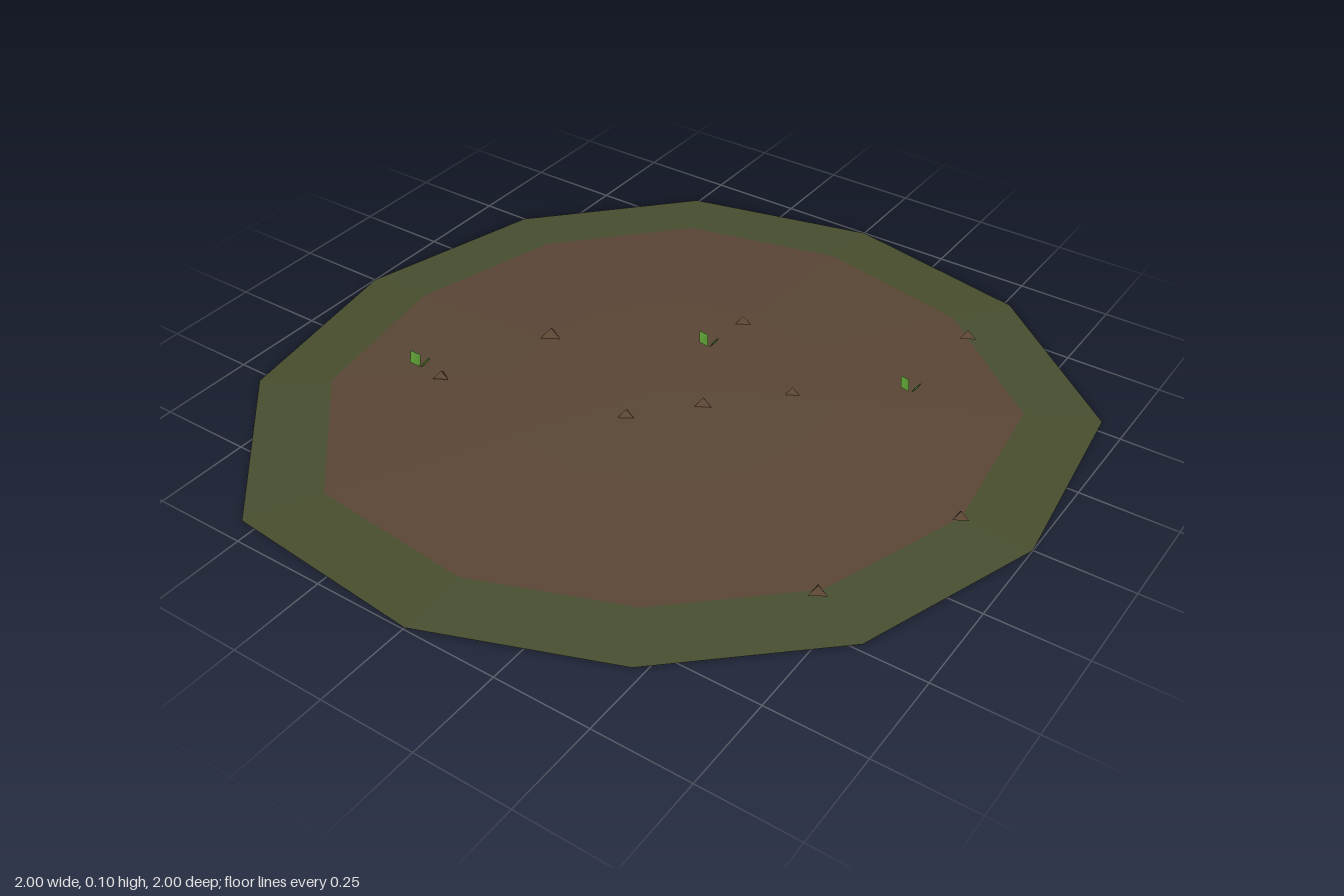
import * as THREE from 'three';

const flat = (name, color, side = THREE.FrontSide) =>
  new THREE.MeshStandardMaterial({ name, color, side, flatShading: true });

// Rim radius at every 30 degrees, counter-clockwise from +x
const RIM = [1, 1.08, 1.03, 1, 1.017, 1, 1, 1.055, 1.09, 0.995, 0.94, 0.96];

// Surface through concentric rings, each [scale, height], from the inside out
function moundGeometry(rings) {
  const n = RIM.length, pos = [], index = [];
  for (const [s, y] of rings) {
    RIM.forEach((r, k) => {
      const a = (k / n) * Math.PI * 2;
      pos.push(Math.cos(a) * r * s, y, -Math.sin(a) * r * s);
    });
  }
  for (let i = 0; i < rings.length - 1; i++) {
    for (let k = 0; k < n; k++) {
      const a = i * n + k, b = i * n + ((k + 1) % n);
      if (rings[i][0] > 0) index.push(a, b + n, b);
      index.push(a, a + n, b + n);
    }
  }
  const g = new THREE.BufferGeometry();
  g.setAttribute('position', new THREE.Float32BufferAttribute(pos, 3));
  g.setIndex(index);
  g.computeVertexNormals();
  return g;
}

export function createModel() {
  const model = new THREE.Group();
  model.name = 'soilPatch';
  const soil = flat('soil brown', 0x5a4636, THREE.DoubleSide);
  const grass = flat('grass green', 0x484e2f, THREE.DoubleSide);
  const clodMat = flat('clod brown', 0x5c4535);
  const leafMat = flat('leaf green', 0x55902f);

  const add = (parent, name, geometry, material) => {
    const mesh = new THREE.Mesh(geometry, material);
    mesh.name = name;
    parent.add(mesh);
    return mesh;
  };

  // Low domed soil with a grassy border
  add(model, 'soilMound', moundGeometry([[0, 0.045], [0.4, 0.037], [0.82, 0.012]]), soil);
  add(model, 'grassBorder', moundGeometry([[0.82, 0.012], [1, 0]]), grass);

  // Small three-sided clods: x, z, base height, size
  const clodGeometry = new THREE.ConeGeometry(0.025, 0.02, 3);
  clodGeometry.translate(0, 0.01, 0);
  clodGeometry.rotateY(Math.PI / 2);
  const clods = [
    [0.51, -0.64, 0.036, 1], [0.83, 0.03, 0.037, 0.9], [0.69, 0.43, 0.037, 1],
    [-0.01, -0.36, 0.037, 1], [0.265, -0.16, 0.036, 1], [-0.39, -0.02, 0.037, 1.2],
    [0.11, 0.01, 0.038, 1.2], [-0.02, 0.155, 0.038, 1.1], [-0.51, 0.28, 0.032, 0.9],
  ];
  for (const [x, z, y, s] of clods) {
    const clod = add(model, 'clod', clodGeometry, clodMat);
    clod.position.set(x, y, z);
    clod.scale.setScalar(s);
  }

  // Sprouts: two diamond leaves spread in a V
  const leafGeometry = new THREE.OctahedronGeometry(1);
  leafGeometry.scale(0.003, 0.024, 0.02);
  for (const [x, z] of [[0, -0.18], [0.52, -0.3], [-0.55, 0.31]]) {
    const sprout = new THREE.Group();
    sprout.name = 'sprout';
    sprout.position.set(x, 0.083, z);
    for (const side of [-1, 1]) {
      const leaf = add(sprout, side > 0 ? 'leftLeaf' : 'rightLeaf', leafGeometry, leafMat);
      leaf.position.x = side * 0.016;
      leaf.rotation.z = -side * 0.6;
    }
    model.add(sprout);
  }
  return model;
}
